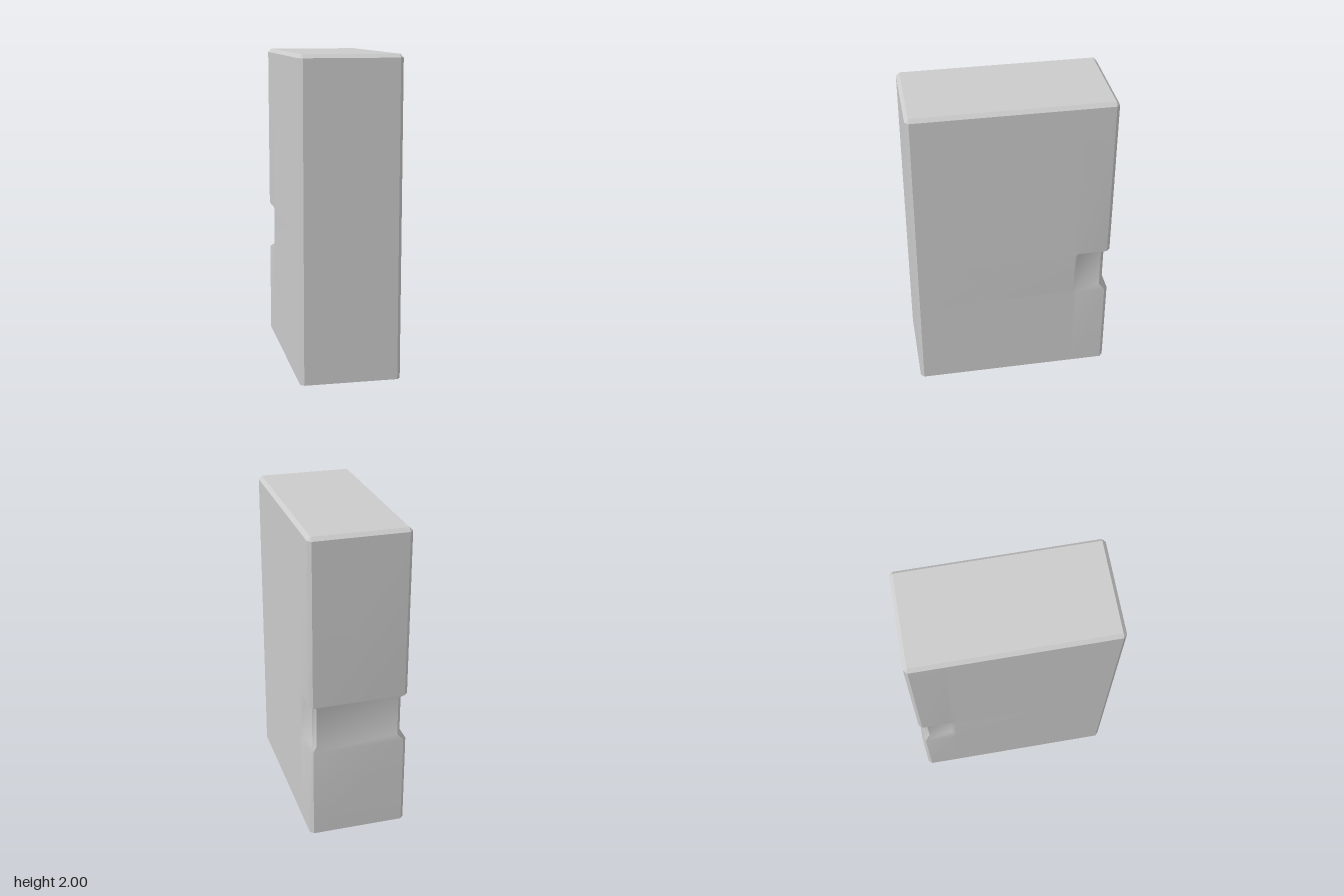
import * as THREE from 'three';

const X = 0.315, Z = 0.635, H = 2, C = 0.022; // half width, half depth, height, chamfer
const D = 0.03; // depth of the grip recess

// Grip recess wraps the back and both sides between these heights
const bodyRows = [[0, 0], [0.6, 0], [0.63, D], [0.89, D], [0.92, 0], [H - C, 0]];

// Half outline at one level, front centre to back centre; d = recess, t = top inset
function halfOutline(d, t) {
  const k = C - t; // remaining corner cut
  return [
    [X - C, Z - t],
    [X - t, Z - C],
    [X - t, -0.4],
    [X - t - d, -0.4 - D],
    [X - t - d, -Z + d + t + k],
    [X - t - d - k, -Z + d + t],
  ];
}

function outline(d, t) {
  const half = halfOutline(d, t);
  return [...half, ...half.map(([x, z]) => [-x, z]).reverse()];
}

// Skin of outline columns first..last through all the levels, smooth inside the strip
function strip(levels, first, last) {
  const pos = [], index = [], n = last - first + 1;
  for (const { y, pts } of levels)
    for (let i = first; i <= last; i++) {
      const [x, z] = pts[i % pts.length];
      pos.push(x, y, z);
    }
  for (let r = 0; r < levels.length - 1; r++)
    for (let i = 0; i < n - 1; i++) {
      const a = r * n + i, b = a + 1, c = b + n, e = a + n;
      index.push(a, b, c, a, c, e);
    }
  const geo = new THREE.BufferGeometry();
  geo.setAttribute('position', new THREE.Float32BufferAttribute(pos, 3));
  geo.setIndex(index);
  geo.computeVertexNormals();
  return geo;
}

export function createModel() {
  const group = new THREE.Group();
  group.name = 'caseBlock';
  const material = new THREE.MeshStandardMaterial({ color: 0xcccccc });
  const add = (geo, name) => {
    const mesh = new THREE.Mesh(geo, material);
    mesh.name = name;
    group.add(mesh);
    return mesh;
  };

  const body = bodyRows.map(([y, d]) => ({ y, pts: outline(d, 0) }));
  const rim = [{ y: H - C, pts: outline(0, 0) }, { y: H, pts: outline(0, C) }];

  // Walls and corner chamfers, each a strip of outline columns
  const strips = [
    ['leftFrontChamfer', 0, 1], ['leftSide', 1, 4], ['leftBackChamfer', 4, 5],
    ['back', 5, 6],
    ['rightBackChamfer', 6, 7], ['rightSide', 7, 10], ['rightFrontChamfer', 10, 11],
    ['front', 11, 12],
  ];
  for (const [name, first, last] of strips) {
    add(strip(body, first, last), name);
    add(strip(rim, first, last), name + 'TopChamfer');
  }

  // Flat top
  const top = add(new THREE.PlaneGeometry(2 * (X - C), 2 * (Z - C)), 'top');
  top.rotation.x = -Math.PI / 2;
  top.position.y = H;

  // Flat base with cut corners
  const shape = new THREE.Shape(outline(0, 0).map(([x, z]) => new THREE.Vector2(x, z)));
  const base = add(new THREE.ShapeGeometry(shape), 'base');
  base.rotation.x = Math.PI / 2;

  return group;
}
